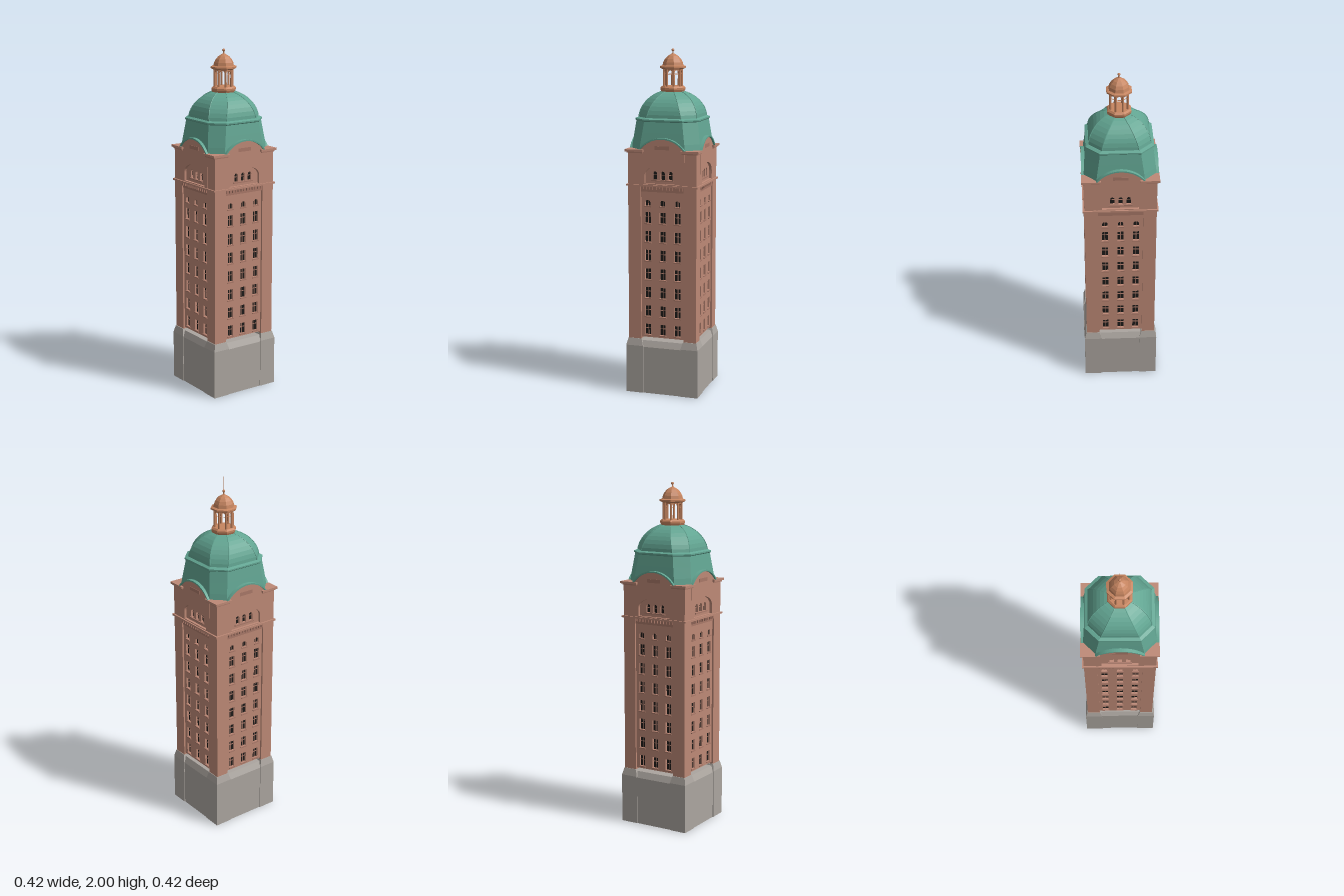
import * as THREE from 'three';

const mat = (color, side = THREE.FrontSide) => new THREE.MeshStandardMaterial({ color, side, flatShading: true });
const stone = mat(0xaba59f), brick = mat(0xbd8976), trim = mat(0xa97868);
const patina = mat(0x62a592), copper = mat(0xc68560), dark = mat(0x1c1a18);

function add(parent, name, geometry, material, x = 0, y = 0, z = 0) {
  const mesh = new THREE.Mesh(geometry, material);
  mesh.name = name;
  mesh.position.set(x, y, z);
  parent.add(mesh);
  return mesh;
}
const box = (parent, name, material, w, h, d, x, y, z) =>
  add(parent, name, new THREE.BoxGeometry(w, h, d), material, x, y, z);

// Closed solid skinned over a stack of horizontal loops, capped at both ends
function loft(loops) {
  const p = [];
  const n = loops[0].length, last = loops[loops.length - 1];
  for (let k = 0; k < loops.length - 1; k++) {
    for (let i = 0; i < n; i++) {
      const j = (i + 1) % n;
      const a = loops[k][i], b = loops[k][j], c = loops[k + 1][j], d = loops[k + 1][i];
      p.push(...a, ...d, ...c, ...a, ...c, ...b);
    }
  }
  for (let i = 1; i < n - 1; i++) {
    p.push(...last[0], ...last[i + 1], ...last[i]);
    p.push(...loops[0][0], ...loops[0][i], ...loops[0][i + 1]);
  }
  const g = new THREE.BufferGeometry();
  g.setAttribute('position', new THREE.Float32BufferAttribute(p, 3));
  g.computeVertexNormals();
  return g;
}
// Octagon: h = half width across flats, s = half length of the four main sides
const octagon = (h, y, s = h * 0.414) => [
  [h, y, s], [s, y, h], [-s, y, h], [-h, y, s], [-h, y, -s], [-s, y, -h], [s, y, -h], [h, y, -s]];
const square = (h, y) => [[h, y, -h], [h, y, h], [-h, y, h], [-h, y, -h]];

const rectPath = (path, x0, y0, x1, y1) => {
  path.moveTo(x0, y0); path.lineTo(x1, y0); path.lineTo(x1, y1); path.lineTo(x0, y1); path.closePath();
  return path;
};
// Opening with straight jambs and a curved head
const archPath = (path, x, y0, spring, top, half) => {
  path.moveTo(x - half, y0);
  path.lineTo(x + half, y0);
  path.lineTo(x + half, spring);
  path.absellipse(x, spring, half, top - spring, 0, Math.PI, false);
  path.closePath();
  return path;
};
const extrude = (shape, z0, z1) =>
  new THREE.ExtrudeGeometry(shape, { depth: z1 - z0, bevelEnabled: false, curveSegments: 16 }).translate(0, 0, z0);

// Arch of given half width and rise, standing on the springing line
const SPRING = 1.38;
function gableArc(path, half, rise, reverse) {
  const r = (half * half + rise * rise) / (2 * rise), a = Math.asin(half / r), cy = SPRING + rise - r;
  const s = Math.PI / 2 - a, e = Math.PI / 2 + a;
  path.absarc(0, cy, r, reverse ? e : s, reverse ? s : e, !!reverse);
}

function buildSide() {
  const side = new THREE.Group();
  side.name = 'facade';
  const columns = [-0.086, 0, 0.086];

  // Shaft wall with its window openings
  const wall = rectPath(new THREE.Shape(), -0.13, 0.325, 0.13, 1.19);
  for (const x of columns) {
    for (let row = 0; row < 7; row++) {
      const y = 0.37 + row * 0.1065;
      wall.holes.push(rectPath(new THREE.Path(), x - 0.017, y - 0.031, x + 0.017, y + 0.031));
      box(side, 'windowMullion', trim, 0.003, 0.062, 0.004, x, y, 0.177);
      box(side, 'windowTransom', trim, 0.034, 0.003, 0.004, x, y + 0.006, 0.177);
      box(side, 'windowSill', trim, 0.042, 0.006, 0.008, x, y - 0.034, 0.188);
    }
    wall.holes.push(archPath(new THREE.Path(), x, 1.075, 1.095, 1.108, 0.015));
    box(side, 'windowMullion', trim, 0.003, 0.033, 0.004, x, 1.09, 0.177);
    box(side, 'windowSill', trim, 0.038, 0.006, 0.008, x, 1.072, 0.188);
  }
  add(side, 'shaftWall', extrude(wall, 0.17, 0.187), brick);
  box(side, 'windowGlass', dark, 0.26, 0.8, 0.006, 0, 0.73, 0.172);

  // Corbelled band and cornice
  box(side, 'corbelBand', trim, 0.25, 0.03, 0.012, 0, 1.17, 0.187);
  for (let i = 0; i < 13; i++) box(side, 'dentil', trim, 0.009, 0.016, 0.01, -0.114 + i * 0.019, 1.176, 0.196);
  box(side, 'cornice', brick, 0.412, 0.01, 0.03, 0, 1.19, 0.191);

  // Belfry face with arched recess and curved gable
  const face = new THREE.Shape();
  face.moveTo(-0.13, 1.19);
  face.lineTo(0.13, 1.19);
  face.lineTo(0.13, SPRING);
  gableArc(face, 0.13, 0.068);
  face.closePath();
  face.holes.push(archPath(new THREE.Path(), 0, 1.2, 1.245, 1.305, 0.1));
  add(side, 'belfryFace', extrude(face, 0.18, 0.198), brick);
  const back = rectPath(new THREE.Shape(), -0.12, 1.19, 0.12, 1.33);
  for (const x of [-0.045, 0, 0.045]) {
    back.holes.push(archPath(new THREE.Path(), x, 1.222, 1.255, 1.269, 0.012));
    box(side, 'belfryTransom', trim, 0.024, 0.003, 0.004, x, 1.248, 0.173);
  }
  add(side, 'belfryRecess', extrude(back, 0.165, 0.183), brick);
  box(side, 'belfryGlass', dark, 0.22, 0.1, 0.006, 0, 1.25, 0.167);
  box(side, 'belfrySill', trim, 0.13, 0.006, 0.01, 0, 1.218, 0.185);
  box(side, 'gablePanel', trim, 0.084, 0.02, 0.006, 0, 1.4, 0.197);

  // Hood roof over the gable
  const hood = new THREE.Shape();
  hood.moveTo(0.138, SPRING);
  gableArc(hood, 0.138, 0.075);
  hood.lineTo(-0.13, SPRING);
  gableArc(hood, 0.13, 0.067, true);
  hood.closePath();
  add(side, 'gableHood', extrude(hood, 0.15, 0.209), patina);
  return side;
}

export function createModel() {
  const tower = new THREE.Group();
  tower.name = 'tower';

  // Stone base
  add(tower, 'baseBlock', loft([square(0.206, 0), square(0.206, 0.27), square(0.19, 0.305)]), stone);
  for (const sx of [-1, 1]) for (const sz of [-1, 1]) {
    const pier = (x0, x1, y) => square((x1 - x0) / 2, y).map(([x, h, z]) =>
      [x + sx * (x0 + x1) / 2, h, z + sz * (x0 + x1) / 2]);
    add(tower, 'basePier', loft([pier(0.11, 0.21, 0), pier(0.11, 0.21, 0.275), pier(0.122, 0.2, 0.315)]), stone);
    // Corner piers and their caps
    box(tower, 'cornerPier', brick, 0.073, 1.07, 0.073, sx * 0.1605, 0.845, sz * 0.1605);
    box(tower, 'pierCap', brick, 0.105, 0.012, 0.105, sx * 0.1585, 1.382, sz * 0.1585);
    box(tower, 'pierCapMoulding', trim, 0.09, 0.008, 0.09, sx * 0.1575, 1.372, sz * 0.1575);
  }

  for (let i = 0; i < 4; i++) {
    const side = buildSide();
    side.rotation.y = i * Math.PI / 2;
    tower.add(side);
  }

  // Flared roof skirt and moulding
  add(tower, 'roofSkirt', loft([octagon(0.197, 1.38, 0.13), octagon(0.193, 1.42, 0.126),
    octagon(0.185, 1.48, 0.117), octagon(0.176, 1.545, 0.108)]), patina);
  add(tower, 'roofMoulding', loft([octagon(0.176, 1.537, 0.107), octagon(0.183, 1.543, 0.111),
    octagon(0.183, 1.551, 0.111), octagon(0.168, 1.558, 0.101)]), patina);

  // Eight-sided dome with ribs along its edges
  const dome = [];
  for (let i = 0; i <= 8; i++) {
    const t = i / 8 * 1.23;
    const h = 0.167 * Math.cos(t);
    dome.push(octagon(h, 1.552 + 0.152 * Math.sin(t), h * (0.6 - 0.17 * i / 8)));
  }
  add(tower, 'dome', loft(dome), patina);
  for (let k = 0; k < 8; k++) {
    const path = new THREE.CatmullRomCurve3(dome.map(loop => new THREE.Vector3(...loop[k])));
    add(tower, 'domeRib', new THREE.TubeGeometry(path, 12, 0.0025, 5), patina);
  }

  // Lantern: base, open colonnade with arches, cornice and cap
  add(tower, 'lanternBase', loft([octagon(0.058, 1.69), octagon(0.064, 1.705), octagon(0.064, 1.715),
    octagon(0.056, 1.724)]), copper);
  const R = 0.05;
  const bay = 2 * R * Math.sin(Math.PI / 8) / 2;
  for (let k = 0; k < 8; k++) {
    const a = (k + 0.5) * Math.PI / 4;
    add(tower, 'lanternColumn', new THREE.CylinderGeometry(0.0055, 0.0065, 0.1, 8), copper,
      R * Math.cos(a), 1.77, R * Math.sin(a));
    const arch = rectPath(new THREE.Shape(), -bay, 1.79, bay, 1.825);
    arch.holes.push(archPath(new THREE.Path(), 0, 1.7905, 1.796, 1.812, bay - 0.005));
    const panel = add(tower, 'lanternArch', extrude(arch, 0.042, 0.047), copper);
    panel.rotation.y = k * Math.PI / 4;
  }
  add(tower, 'lanternCornice', loft([octagon(0.054, 1.817), octagon(0.067, 1.824), octagon(0.067, 1.833),
    octagon(0.054, 1.838)]), copper);
  const cap = [[0.054, 1.836], [0.05, 1.855], [0.041, 1.873], [0.028, 1.888], [0.013, 1.898], [0.006, 1.902]];
  add(tower, 'lanternDome', loft(cap.map(([h, y]) => octagon(h, y))), copper);

  // Finial with a hair-thin lightning rod
  add(tower, 'finialStem', new THREE.CylinderGeometry(0.003, 0.005, 0.026, 8), copper, 0, 1.908, 0);
  add(tower, 'finialBall', new THREE.SphereGeometry(0.008, 12, 8), copper, 0, 1.921, 0);
  add(tower, 'lightningRod', new THREE.CylinderGeometry(0.0004, 0.0006, 0.08, 6), copper, 0, 1.96, 0);
  return tower;
}
